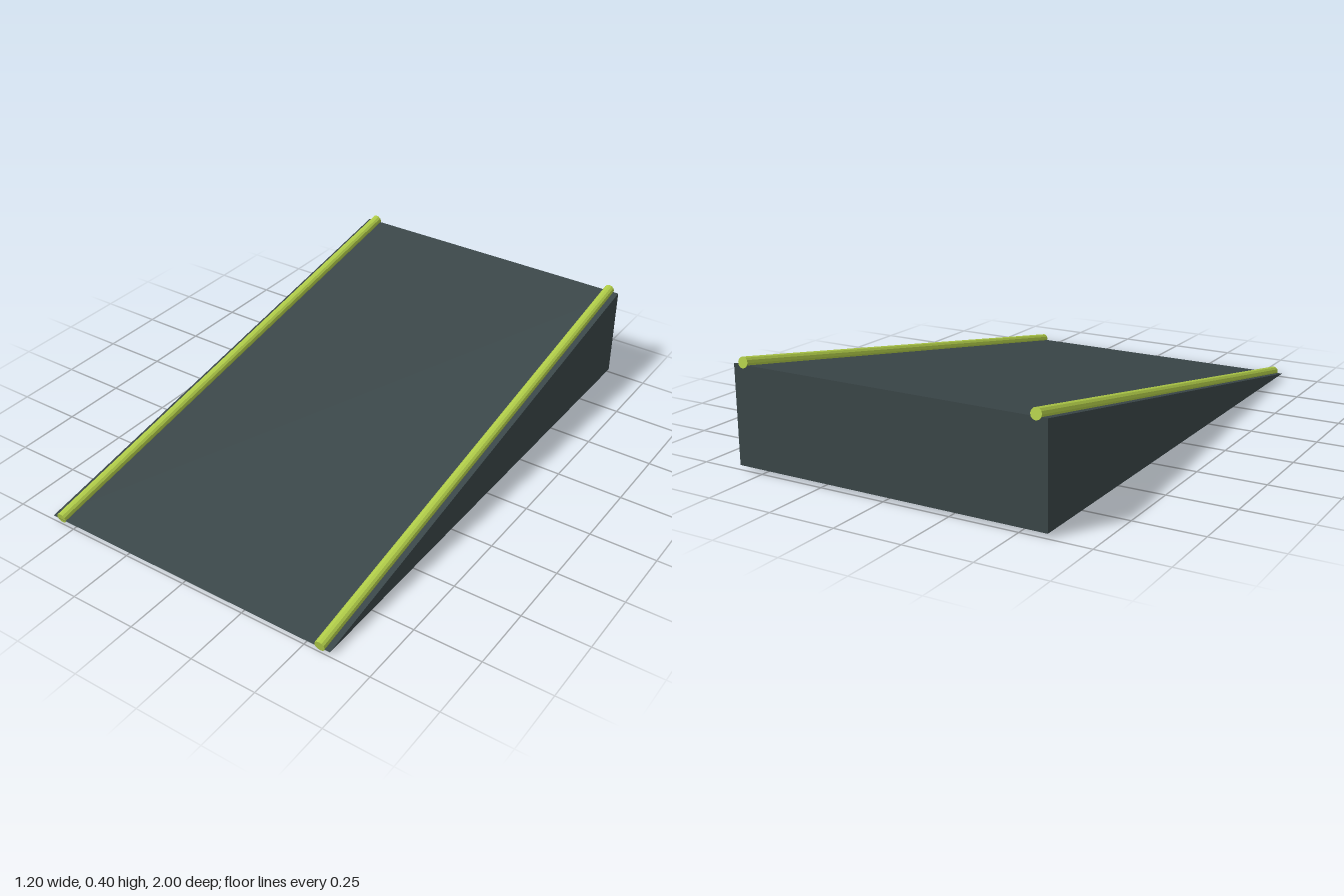
import * as THREE from 'three';

export function createModel() {
  const group = new THREE.Group();
  const dark = new THREE.MeshStandardMaterial({ color: 0x3a4648, flatShading: true });
  const green = new THREE.MeshStandardMaterial({ color: 0xb0cc48, flatShading: true });

  // Wedge: triangular side profile (x = depth, y = height) extruded across the width
  const width = 1.195, half = 0.996;
  const profile = new THREE.Shape([
    new THREE.Vector2(-half, 0.015),
    new THREE.Vector2(half, 0.015),
    new THREE.Vector2(half, 0.372),
  ]);
  const wedgeGeometry = new THREE.ExtrudeGeometry(profile, { depth: width, bevelEnabled: false });
  wedgeGeometry.translate(0, 0, -width / 2).rotateY(Math.PI / 2);
  const wedge = new THREE.Mesh(wedgeGeometry, dark);
  wedge.name = 'rampWedge';
  group.add(wedge);

  // Edge rails: slim rods lying along the slope
  const front = new THREE.Vector3(0, 0.02, 0.9965);
  const back = new THREE.Vector3(0, 0.38, -0.9965);
  const along = back.clone().sub(front);
  const railGeometry = new THREE.CylinderGeometry(0.02, 0.02, along.length(), 12);
  for (const side of [-1, 1]) {
    const rail = new THREE.Mesh(railGeometry, green);
    rail.name = side > 0 ? 'leftRail' : 'rightRail';
    rail.position.addVectors(front, back).multiplyScalar(0.5).setX(side * 0.558);
    rail.quaternion.setFromUnitVectors(new THREE.Vector3(0, 1, 0), along.clone().normalize());
    group.add(rail);
  }
  return group;
}
